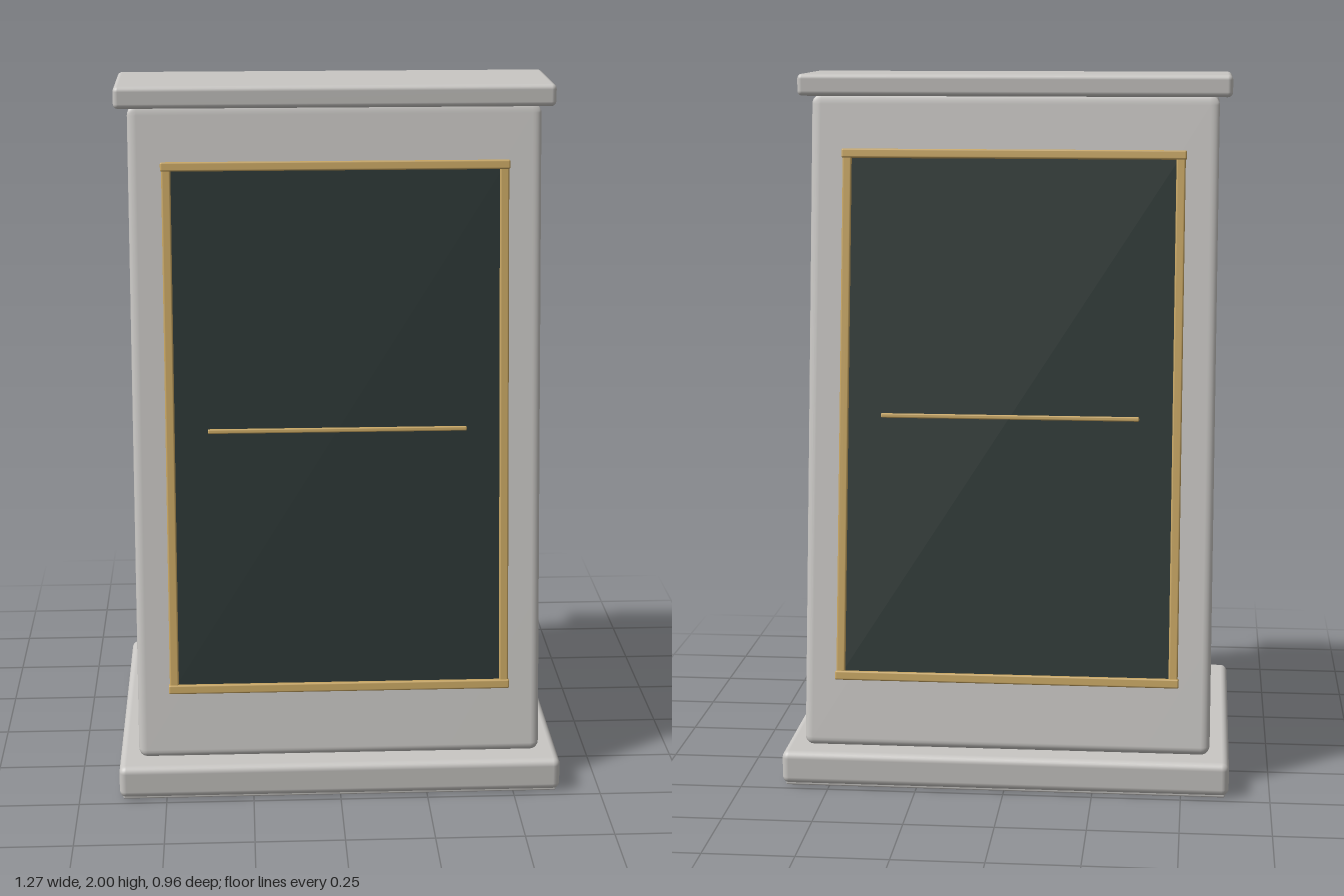
import * as THREE from 'three';
import { RoundedBoxGeometry } from 'three/addons/geometries/RoundedBoxGeometry.js';
import { mergeVertices } from 'three/addons/utils/BufferGeometryUtils.js';

const BOTTOM = 0.1, TOP = 1.94;        // height range of the tapered body
const Z_BOTTOM = 0.42, Z_TOP = 0.116;  // half depths of the body
const SLOPE = (Z_BOTTOM - Z_TOP) / (TOP - BOTTOM);

const depthAt = (y) => Z_BOTTOM - SLOPE * (y - BOTTOM);

export function createModel() {
  const stone = new THREE.MeshStandardMaterial({ name: 'paleStone', color: 0xc9c7c4 });
  const slate = new THREE.MeshStandardMaterial({ name: 'darkSlate', color: 0x2b3634 });
  const brass = new THREE.MeshStandardMaterial({ name: 'brass', color: 0xc9a763 });

  const model = new THREE.Group();
  model.name = 'taperedMonument';

  const box = (parent, name, material, [w, h, d], [x, y, z], radius) => {
    const geometry = new RoundedBoxGeometry(w, h, d, 3, radius);
    const mesh = new THREE.Mesh(geometry, material);
    mesh.name = name;
    mesh.position.set(x, y, z);
    parent.add(mesh);
    return mesh;
  };

  // Base slab and top cap
  box(model, 'base', stone, [1.27, 0.095, 0.965], [0, 0.0525, 0], 0.02);
  box(model, 'baseFoot', stone, [1.25, 0.02, 0.945], [0, 0.01, 0], 0.005);
  box(model, 'cap', stone, [1.232, 0.062, 0.324], [0, 1.969, 0], 0.014);

  // Body: a rounded block whose depth shrinks toward the top
  const body = box(model, 'body', stone, [1.16, TOP - BOTTOM, 2 * Z_BOTTOM],
    [0, (TOP + BOTTOM) / 2, 0], 0.025);
  const position = body.geometry.attributes.position;
  for (let i = 0; i < position.count; i++) {
    const y = position.getY(i) + body.position.y;
    position.setZ(i, position.getZ(i) * depthAt(y) / Z_BOTTOM);
  }
  body.geometry.deleteAttribute('normal');
  body.geometry.deleteAttribute('uv');
  body.geometry = mergeVertices(body.geometry, 1e-5);
  body.geometry.computeVertexNormals();

  // Framed slate panel lying on each sloping face
  const midY = 1.04;
  const height = 1.515;
  for (const [name, turn] of [['front', 0], ['back', Math.PI]]) {
    const side = new THREE.Group();
    side.name = name + 'Side';
    side.rotation.y = turn;
    model.add(side);

    const panel = new THREE.Group();
    panel.name = name + 'Panel';
    panel.position.set(0, midY, depthAt(midY));
    panel.rotation.x = -Math.atan(SLOPE);
    side.add(panel);

    box(panel, 'slatePanel', slate, [0.95, height - 0.03, 0.018], [0, 0, 0.003], 0.002);
    for (const s of [-1, 1]) {
      box(panel, s > 0 ? 'topRail' : 'bottomRail', brass,
        [0.98, 0.026, 0.026], [0, s * (height / 2 - 0.013), 0.011], 0.005);
      box(panel, s > 0 ? 'leftRail' : 'rightRail', brass,
        [0.026, height - 0.03, 0.022], [s * 0.474, 0, 0.009], 0.005);
    }
    // Thin inlaid divider across the middle
    box(panel, 'divider', brass, [0.735, 0.013, 0.012], [0, 0, 0.015], 0.004);
  }

  return model;
}
